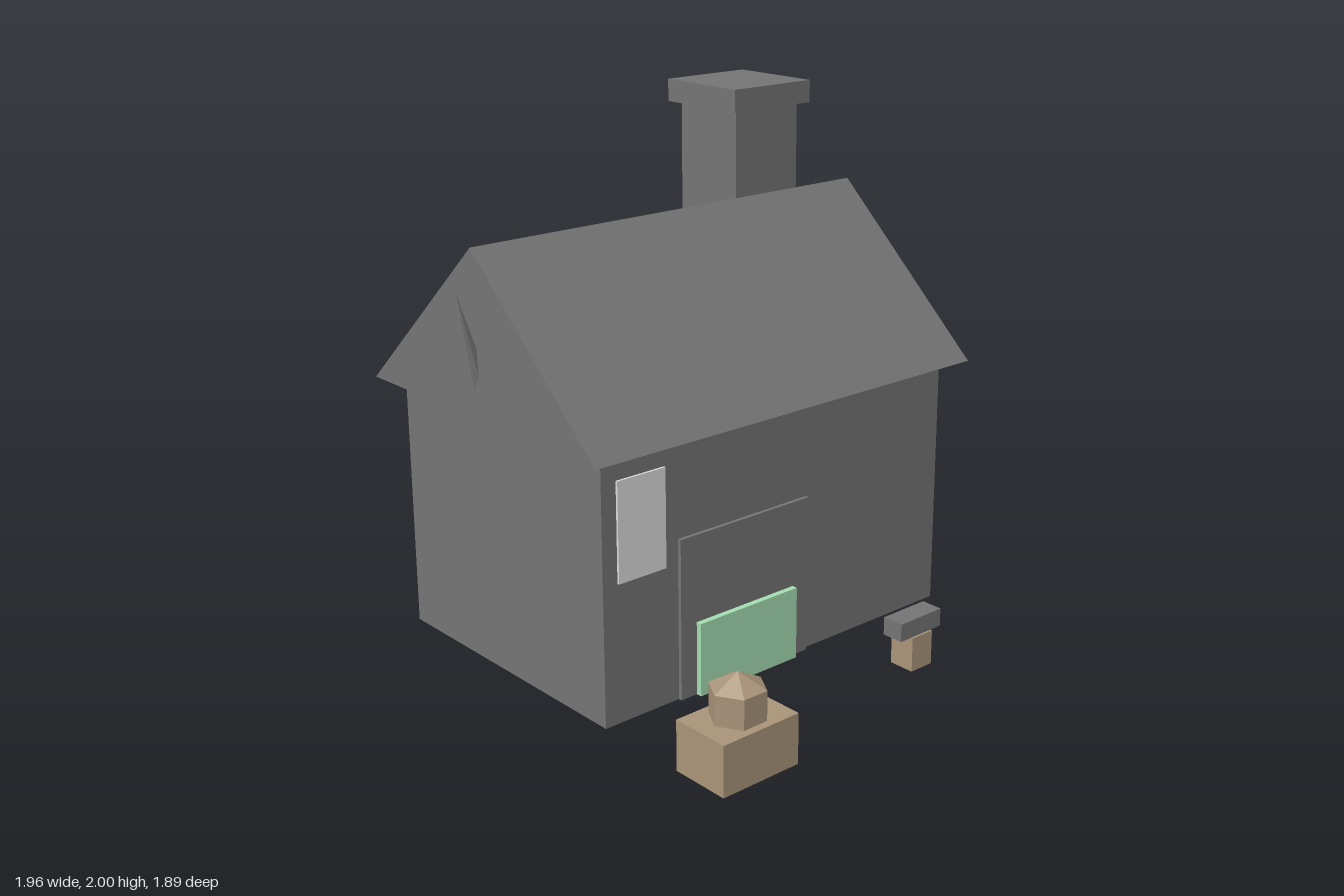
import * as THREE from 'three';

const material = (name, color) => {
  const m = new THREE.MeshStandardMaterial({ color, flatShading: true });
  m.name = name;
  return m;
};

export function createModel() {
  const stone = material('grey stone', 0x747474);
  const wood = material('tan wood', 0xa99479);
  const green = material('green panel', 0xa3dcb0);
  const pale = material('pale window', 0xdadada);

  const group = new THREE.Group();
  const add = (name, geometry, mat) => {
    const mesh = new THREE.Mesh(geometry, mat);
    mesh.name = name;
    group.add(mesh);
    return mesh;
  };
  // box given by its extents on each axis
  const box = (name, mat, [x0, x1], [y0, y1], [z0, z1]) =>
    add(name, new THREE.BoxGeometry(x1 - x0, y1 - y0, z1 - z0), mat)
      .position.set((x0 + x1) / 2, (y0 + y1) / 2, (z0 + z1) / 2);

  // house
  box('walls', stone, [-0.835, 0.832], [0, 1], [-0.86, 0.33]);
  box('chimney', stone, [0.5, 0.832], [1.02, 1.91], [-0.815, -0.485]);
  box('chimneyCap', stone, [0.46, 0.866], [1.91, 2], [-0.852, -0.446]);
  box('door', stone, [-0.502, 0.118], [0, 0.62], [0.32, 0.345]);
  box('doorPanel', green, [-0.43, 0.042], [0, 0.285], [0.34, 0.368]);
  box('window', pale, [-0.772, -0.562], [0.53, 0.905], [0.33, 0.339]);

  // gabled roof, extruded along x
  const gable = new THREE.Shape([
    new THREE.Vector2(-0.408, 1),
    new THREE.Vector2(0.943, 1),
    new THREE.Vector2(0.268, 1.62),
  ]);
  const roof = new THREE.ExtrudeGeometry(gable, { depth: 1.827, bevelEnabled: false });
  roof.rotateY(Math.PI / 2).translate(-0.915, 0, 0);
  add('roof', roof, stone);

  // slanted spike on each gable
  for (const side of [-1, 1]) {
    const spike = new THREE.ConeGeometry(0.04, 0.486, 5);
    spike.rotateY(Math.PI).translate(0, 0.243, 0).rotateZ(-side * 0.256);
    add(side > 0 ? 'leftSpike' : 'rightSpike', spike, stone).position.set(side * 0.857, 1, -0.267);
  }

  // crate with a hexagonal barrel on top
  box('crate', wood, [-0.835, -0.502], [0, 0.19], [0.71, 0.945]);
  const barrel = new THREE.CylinderGeometry(0.102, 0.102, 0.11, 6).rotateY(Math.PI / 2);
  add('barrel', barrel, wood).position.set(-0.668, 0.245, 0.827);
  const lid = new THREE.ConeGeometry(0.102, 0.055, 6).rotateY(Math.PI / 2);
  add('barrelLid', lid, wood).position.set(-0.668, 0.3275, 0.827);

  // small post with a stone top
  box('post', wood, [0.28, 0.385], [0, 0.135], [0.633, 0.738]);
  box('postTop', stone, [0.225, 0.437], [0.135, 0.205], [0.643, 0.73]);

  return group;
}
